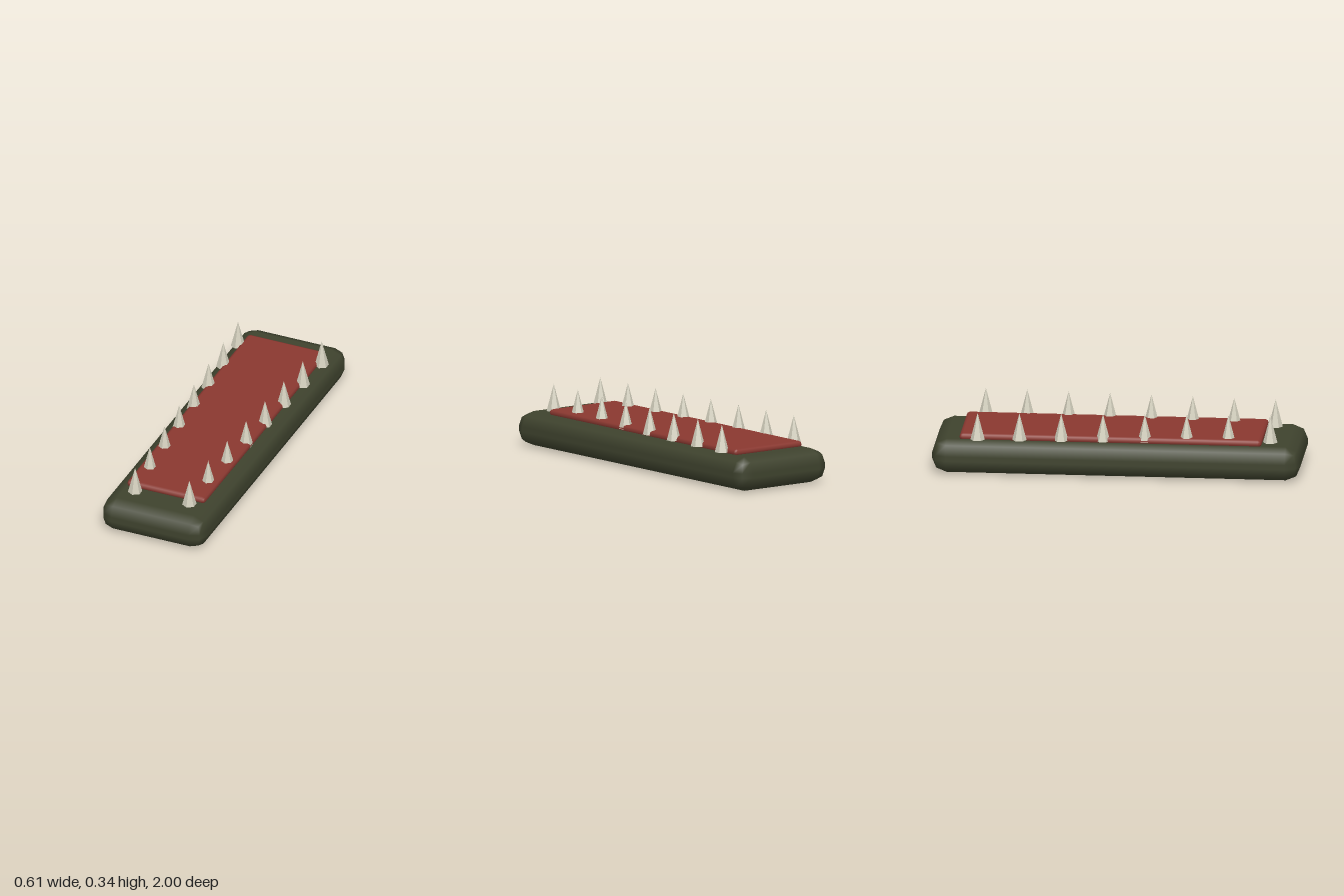
import * as THREE from 'three';
import { RoundedBoxGeometry } from 'three/addons/geometries/RoundedBoxGeometry.js';

const material = (name, color, flatShading = false) => {
  const m = new THREE.MeshStandardMaterial({ color, flatShading });
  m.name = name;
  return m;
};

export function createModel() {
  const olive = material('dark olive', 0x3f432e);
  const red = material('brick red', 0x8a3830);
  const bone = material('bone', 0xd2cebc, true);

  const model = new THREE.Group();
  model.name = 'spikedSlab';

  const add = (name, geometry, mat, x, y, z, parent = model) => {
    const mesh = new THREE.Mesh(geometry, mat);
    mesh.name = name;
    mesh.position.set(x, y, z);
    parent.add(mesh);
    return mesh;
  };

  // Long body with two-step bevelled edges
  add('body', new RoundedBoxGeometry(0.614, 0.186, 2, 1, 0.08), olive, 0, 0.093, 0);

  // Raised plate, its lower half sunk into the body
  add('topPlate', new RoundedBoxGeometry(0.462, 0.04, 1.64, 1, 0.0199), red, 0, 0.196, -0.032);

  // Two rows of spikes that spread apart toward the back
  const spikes = new THREE.Group();
  spikes.name = 'spikes';
  model.add(spikes);
  const height = 0.15;
  const spike = new THREE.ConeGeometry(0.039, height, 6);
  const count = 8;
  for (let i = 0; i < count; i++) {
    const t = i / (count - 1);
    const x = THREE.MathUtils.lerp(0.16, 0.247, t);
    const z = THREE.MathUtils.lerp(0.83, -0.75, t);
    for (const side of [-1, 1]) {
      add(side > 0 ? 'leftSpike' : 'rightSpike', spike, bone, side * x, 0.192 + height / 2, z, spikes);
    }
  }
  return model;
}
